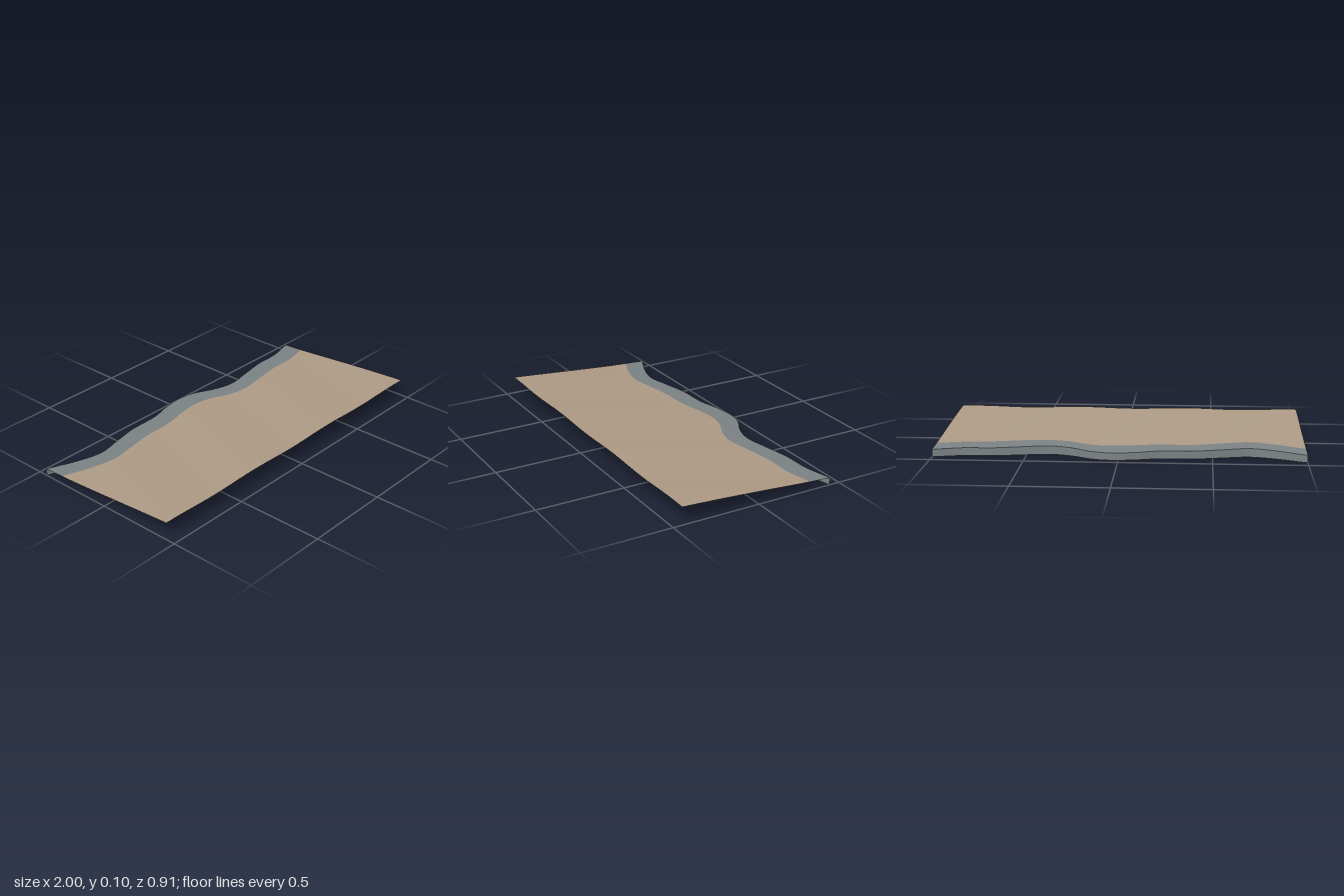
import * as THREE from 'three';

const FRONT_Z = 0.45;
const BANK_START = 0.86; // share of the depth where the sand turns into bank

// Wavy rear edge, extended past both ends so the curve keeps its slope
const edgeCurve = new THREE.SplineCurve([
  [-1.1, -0.453], [-1, -0.445], [-0.85, -0.38], [-0.7, -0.341], [-0.55, -0.37], [-0.4, -0.401], [-0.22, -0.408],
  [-0.1, -0.438], [0.03, -0.456], [0.14, -0.436], [0.26, -0.373], [0.38, -0.345], [0.52, -0.367],
  [0.68, -0.396], [0.84, -0.402], [1, -0.44], [1.1, -0.456],
].map(([x, z]) => new THREE.Vector2(x, z)));
const edgePoints = edgeCurve.getPoints(480);

function edgeZ(x) {
  const i = Math.max(1, edgePoints.findIndex((p) => p.x >= x));
  const a = edgePoints[i - 1], b = edgePoints[i];
  return THREE.MathUtils.lerp(a.y, b.y, (x - a.x) / (b.x - a.x));
}

// Point of the sloping, gently rippled ground; t runs from front (0) to rear edge (1)
function ground(x, t) {
  const z = THREE.MathUtils.lerp(FRONT_Z, edgeZ(x), t);
  const ripple = 0.0035 * Math.min(1, (1 - t) * 4);
  const y = 0.04 + 0.063 * (z + 0.455) + ripple * Math.cos(10.1 * (x - 0.28) + 4 * (z - FRONT_Z));
  return [x, y, z];
}

// Bends a plane by a rule: u runs along x, v runs from front/top (0) to rear/bottom (1)
function sheet(name, color, rows, rule) {
  const geometry = new THREE.PlaneGeometry(1, 1, 96, rows);
  const { position, uv } = geometry.attributes;
  for (let i = 0; i < position.count; i++) {
    position.setXYZ(i, ...rule(uv.getX(i) * 2 - 1, uv.getY(i)));
  }
  geometry.computeVertexNormals();
  const mesh = new THREE.Mesh(geometry, new THREE.MeshStandardMaterial({ color, side: THREE.DoubleSide }));
  mesh.name = name;
  return mesh;
}

export function createModel() {
  const group = new THREE.Group();
  group.name = 'shore';

  // Broad sloping sand
  group.add(sheet('sand', 0xae9b86, 28, (x, v) => ground(x, v * BANK_START)));

  // Strip of bank along the wavy edge
  group.add(sheet('bank', 0x7c8385, 6, (x, v) => ground(x, THREE.MathUtils.lerp(BANK_START, 1, v))));

  // Upright face dropping from the edge to the base
  group.add(sheet('bankFace', 0x7c8385, 2, (x, v) => {
    const [, y, z] = ground(x, 1);
    return [x, y * (1 - v), z];
  }));

  return group;
}
